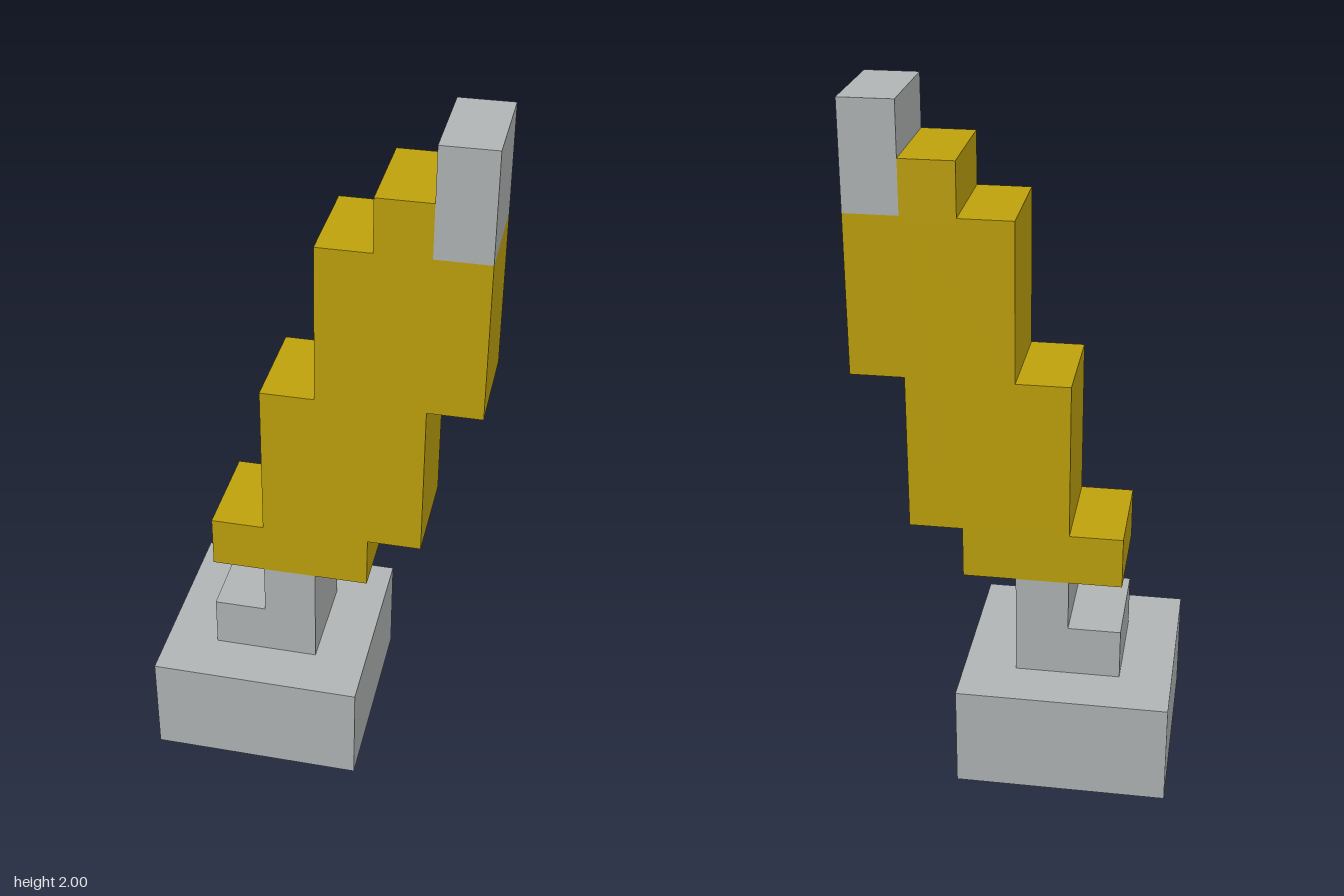
import * as THREE from 'three';

// The whole model sits on a block grid, 13 blocks high
const U = 2 / 13;

export function createModel() {
  const model = new THREE.Group();
  model.name = 'blockyCurvedBlade';

  const stone = new THREE.MeshStandardMaterial({ color: 0xb0b4b4 });
  stone.name = 'grey';
  const gold = new THREE.MeshStandardMaterial({ color: 0xbea10c });
  gold.name = 'gold';

  // Extrudes a stepped side outline (in blocks) evenly about z = 0
  function slab(name, outline, halfDepth, material) {
    const shape = new THREE.Shape(outline.map(([x, y]) => new THREE.Vector2(x * U, y * U)));
    const geometry = new THREE.ExtrudeGeometry(shape, { depth: 2 * halfDepth * U, bevelEnabled: false });
    geometry.translate(0, 0, -halfDepth * U);
    const mesh = new THREE.Mesh(geometry, material);
    mesh.name = name;
    model.add(mesh);
  }

  // Wide foot block
  slab('base', [[-3, 0], [1, 0], [1, 2], [-3, 2]], 2, stone);

  // Stepped stem between foot and blade
  slab('stem', [[-2, 2], [0, 2], [0, 4], [-1, 4], [-1, 3], [-2, 3]], 1, stone);

  // Leaning stepped blade
  slab('blade', [
    [-2, 4], [1, 4], [1, 5], [2, 5], [2, 8], [3, 8], [3, 11], [2, 11],
    [2, 12], [1, 12], [1, 11], [0, 11], [0, 8], [-1, 8], [-1, 5], [-2, 5],
  ], 1, gold);

  // Upright tip
  slab('tip', [[2, 11], [3, 11], [3, 13], [2, 13]], 1, stone);

  return model;
}
